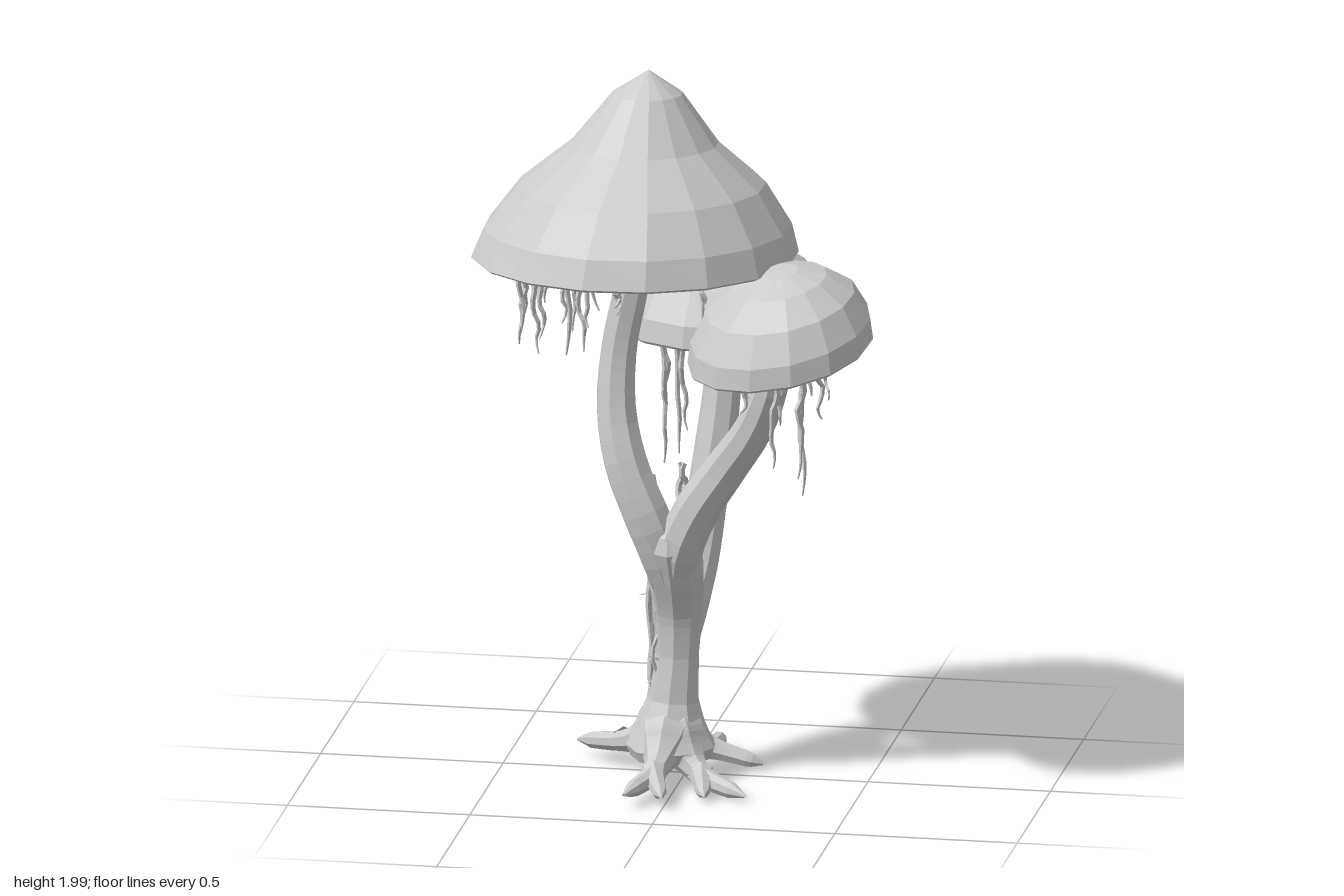
import * as THREE from 'three';
import { mergeGeometries } from 'three/addons/utils/BufferGeometryUtils.js';

const material = new THREE.MeshStandardMaterial({ color: 0xcccccc, flatShading: true, side: THREE.DoubleSide });
const V = (p) => new THREE.Vector3(...p);

let seed = 7;
const rand = () => {
  seed = (seed * 16807) % 2147483647;
  return seed / 2147483647;
};
const jitter = (s) => (rand() - 0.5) * 2 * s;

function addMesh(parent, name, geometry) {
  const mesh = new THREE.Mesh(geometry, material);
  mesh.name = name;
  parent.add(mesh);
}

// Tube whose radius follows a list of radii, evenly spread over its path points
function taperedTube(points, radii, segments = 16, sides = 8) {
  const curve = new THREE.CatmullRomCurve3(points.map(V));
  const geo = new THREE.TubeGeometry(curve, segments, 1, sides);
  const pos = geo.attributes.position;
  const v = new THREE.Vector3();
  for (let i = 0; i <= segments; i++) {
    const u = i / segments;
    const centre = curve.getPointAt(u);
    const t = curve.getUtoTmapping(u) * (radii.length - 1);
    const k = Math.min(Math.floor(t), radii.length - 2);
    const r = THREE.MathUtils.lerp(radii[k], radii[k + 1], t - k);
    for (let j = 0; j <= sides; j++) {
      const n = i * (sides + 1) + j;
      v.fromBufferAttribute(pos, n).sub(centre).multiplyScalar(r).add(centre);
      pos.setXYZ(n, v.x, v.y, v.z);
    }
  }
  geo.computeVertexNormals();
  return geo;
}

// Cap: outer dome, thin rim, recessed underside, and a web of gills
function addCap(parent, { name, centre, radius, profile, sides, lean, shear }) {
  const cap = new THREE.Group();
  cap.name = name;
  const depth = 0.055;
  const inner = [[0.001, depth + 0.02], [radius * 0.5, depth + 0.012], [radius * 0.88, depth],
    [radius * 0.92, 0.008], [radius * 0.97, -0.008]];
  const shell = new THREE.LatheGeometry([...inner, ...profile].map(([r, y]) => new THREE.Vector2(r, y)), sides, 1.2 * Math.PI / sides);
  const pos = shell.attributes.position;
  for (let i = 0; i < pos.count; i++) {
    const x = pos.getX(i), y = pos.getY(i), z = pos.getZ(i);
    const wobble = 1 + 0.008 * Math.sin(3 * Math.atan2(x, z) + y * 8);
    pos.setXYZ(i, x * wobble + shear[0] * y, y, z * wobble + shear[1] * y);
  }
  shell.computeVertexNormals();
  addMesh(cap, name + 'Shell', shell);

  const gills = [];
  for (let i = 0; i < sides; i++) {
    const rib = new THREE.BoxGeometry(radius * 0.8, 0.012, 0.006);
    rib.translate(radius * 0.5, depth - 0.012, 0);
    rib.rotateY((i / sides) * Math.PI * 2);
    gills.push(rib);
  }
  for (const f of [0.22, 0.42, 0.66]) {
    const ring = new THREE.TorusGeometry(radius * f, 0.004, 4, sides);
    ring.rotateX(Math.PI / 2);
    ring.translate(0, depth - 0.012, 0);
    gills.push(ring);
  }
  addMesh(cap, name + 'Gills', mergeGeometries(gills));

  cap.position.set(...centre);
  cap.quaternion.setFromUnitVectors(new THREE.Vector3(0, 1, 0), V(lean).normalize());
  parent.add(cap);
}

// Hanging strand: wiggles its way down to a point
function strand([x, y, z, length]) {
  const path = [];
  const n = 7;
  for (let i = 0; i <= n; i++) {
    const s = i ? 0.011 : 0;
    path.push([x + jitter(s), y - (length * i) / n, z + jitter(s)]);
  }
  return taperedTube(path, [0.008, 0.009, 0.007, 0.006, 0.002], 12, 4);
}

function addVines(parent, name, list) {
  const all = [];
  for (const v of list) {
    all.push(strand(v));
    all.push(strand([v[0] + jitter(0.02), v[1], v[2] + jitter(0.02), v[3] * (0.5 + 0.4 * rand())]));
  }
  addMesh(parent, name, mergeGeometries(all));
}

export function createModel() {
  const model = new THREE.Group();
  model.name = 'mushroomTree';

  // Caps
  addCap(model, {
    name: 'largeCap', centre: [-0.123, 1.482, 0.073], radius: 0.443, sides: 16, lean: [-0.015, 1, -0.05], shear: [0.08, 0.035],
    profile: [[0.443, 0], [0.417, 0.08], [0.338, 0.195], [0.202, 0.312], [0.097, 0.452], [0, 0.518]],
  });
  const dome = (r, h) => [[1, 0], [0.97, 0.25], [0.8, 0.6], [0.5, 0.86], [0.2, 0.98], [0, 1]].map(([a, b]) => [a * r, b * h]);
  addCap(model, {
    name: 'frontCap', centre: [0.307, 1.285, 0.248], radius: 0.257, sides: 14, lean: [-0.17, 1, 0.16], shear: [0.17, -0.08],
    profile: dome(0.257, 0.228),
  });
  addCap(model, {
    name: 'backCap', centre: [0.056, 1.225, -0.224], radius: 0.295, sides: 14, lean: [0, 1, 0.02], shear: [0, -0.08],
    profile: dome(0.295, 0.235),
  });

  // Trunk: flared foot, swelling into the fork; then one stem to each cap
  addMesh(model, 'trunk', taperedTube(
    [[-0.03, 0.04, 0.05], [-0.03, 0.08, 0.05], [-0.03, 0.14, 0.05], [-0.025, 0.23, 0.045], [-0.015, 0.36, 0.04],
      [-0.012, 0.48, 0.045], [-0.012, 0.6, 0.08], [-0.017, 0.7, 0.12], [-0.014, 0.785, 0.13]],
    [0.01, 0.135, 0.105, 0.072, 0.061, 0.069, 0.08, 0.076, 0], 24, 9));
  addMesh(model, 'largeStem', taperedTube(
    [[-0.02, 0.5, 0.06], [-0.035, 0.62, 0.1], [-0.08, 0.75, 0.12], [-0.142, 0.9, 0.11], [-0.175, 1.05, 0.08],
      [-0.17, 1.22, 0.06], [-0.135, 1.4, 0.06], [-0.12, 1.54, 0.065]],
    [0.045, 0.064, 0.066, 0.062, 0.056, 0.05, 0.048, 0.055], 22));
  addMesh(model, 'frontStem', taperedTube(
    [[-0.01, 0.54, 0.08], [0.005, 0.67, 0.125], [0.055, 0.79, 0.14], [0.14, 0.92, 0.16], [0.225, 1.05, 0.205],
      [0.28, 1.19, 0.245], [0.3, 1.35, 0.25]],
    [0.045, 0.064, 0.062, 0.057, 0.052, 0.047, 0.05], 20));
  addMesh(model, 'backStem', taperedTube(
    [[-0.015, 0.36, 0.03], [-0.01, 0.47, -0.02], [0.01, 0.58, -0.1], [0.03, 0.74, -0.155], [0.05, 0.9, -0.187],
      [0.065, 1.08, -0.214], [0.065, 1.28, -0.22]],
    [0.05, 0.07, 0.063, 0.057, 0.056, 0.051, 0.052], 20));
  // Saddle between the back stem and the trunk
  addMesh(model, 'forkSaddle', taperedTube(
    [[-0.01, 0.62, 0.07], [-0.01, 0.55, 0.02], [-0.005, 0.545, -0.05], [0.01, 0.62, -0.12]], [0.04, 0.055, 0.055, 0.04], 10));

  // Roots: thick blunt limbs that split into toes, webbed into the foot
  const base = [-0.03, 0.17, 0.05];
  const roots = [
    { mid: [-0.05, 0.066, 0.21], end: [-0.1, 0.052, 0.385], toe: [0.0, 0.048, 0.37] },
    { mid: [0.07, 0.052, 0.15], end: [0.21, 0.025, 0.25], toe: [0.1, 0.03, 0.28] },
    { mid: [0.05, 0.066, -0.06], end: [0.06, 0.05, -0.235], toe: [0.205, 0.03, -0.05] },
    { mid: [-0.17, 0.085, -0.02], end: [-0.315, 0.055, -0.11], toe: [-0.25, 0.035, -0.15] },
  ];
  for (const { mid, end, toe } of roots) {
    const halfway = base.map((b, i) => (b + mid[i]) / 2 - (i === 1 ? 0.016 : 0));
    addMesh(model, 'root', taperedTube([base, halfway, mid, end],
      [0.07, 0.08, 0.075, 0.062, 0.05, 0.04, 0.034, 0.029, 0.026, 0.023, 0.004], 20, 8));
    addMesh(model, 'rootToe', taperedTube([mid, toe], [0.038, 0.033, 0.027, 0.024, 0.022, 0.004], 10, 7));
  }

  // Vines under the caps
  addVines(model, 'largeCapVines', [
    [-0.45, 1.52, -0.03, 0.27], [-0.41, 1.52, 0.2, 0.27], [-0.4, 1.52, -0.13, 0.25], [-0.36, 1.52, 0.28, 0.27],
    [-0.33, 1.53, 0.02, 0.27], [-0.29, 1.53, 0.15, 0.32], [-0.28, 1.52, -0.18, 0.28], [-0.23, 1.53, 0.3, 0.26],
    [-0.12, 1.52, 0.38, 0.12], [-0.05, 1.52, -0.2, 0.24], [0.06, 1.52, 0.12, 0.2],
  ]);
  addVines(model, 'frontCapVines', [
    [0.39, 1.3, 0.38, 0.38], [0.42, 1.33, 0.3, 0.22], [0.31, 1.27, 0.37, 0.28], [0.37, 1.3, 0.15, 0.17], [0.22, 1.27, 0.34, 0.14],
  ]);
  addVines(model, 'backCapVines', [
    [-0.07, 1.26, -0.05, 0.4], [-0.03, 1.26, -0.06, 0.37], [0.03, 1.26, -0.29, 0.4], [0.05, 1.26, -0.4, 0.41],
    [0.0, 1.26, -0.4, 0.27], [0.14, 1.26, -0.28, 0.22], [0.19, 1.26, -0.05, 0.18], [-0.1, 1.26, -0.25, 0.16],
  ]);

  // Creepers down the trunk and around the fork
  addVines(model, 'trunkCreepers', [
    [-0.07, 0.62, 0.02, 0.5], [-0.08, 0.55, 0.05, 0.45], [-0.06, 0.5, 0.0, 0.4], [-0.08, 0.66, 0.07, 0.5],
    [0.0, 0.9, 0.07, 0.25], [-0.08, 0.86, 0.06, 0.3],
  ]);

  // Short moss whiskers on the creepers
  const whiskers = [];
  for (let i = 0; i < 36; i++) {
    const y = 0.12 + 0.72 * rand();
    const start = [-0.065 + jitter(0.02), y, 0.03 + y * 0.06 + jitter(0.05)];
    const end = [start[0] - 0.03 * rand(), y + jitter(0.03), start[2] + jitter(0.04)];
    whiskers.push(taperedTube([start, end], [0.005, 0.001], 2, 3));
  }
  addMesh(model, 'mossWhiskers', mergeGeometries(whiskers));

  return model;
}
